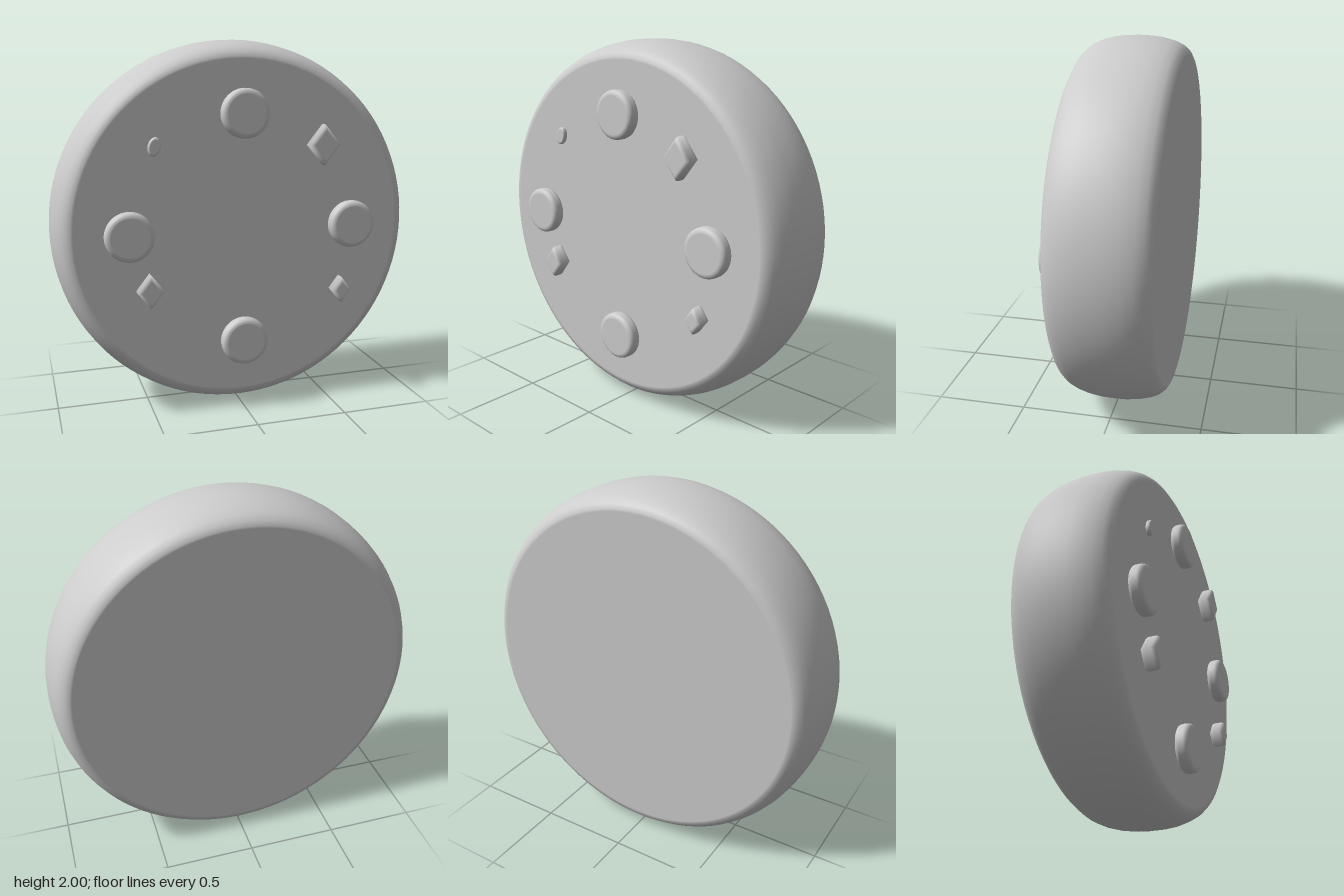
import * as THREE from 'three';

const grey = new THREE.MeshStandardMaterial({ color: 0xcccccc });
grey.name = 'plain grey';

// Turned solid whose axis points along z; profile is [radius, z] from back to front
function turned(name, profile, segments) {
  const points = profile.map(([r, z]) => new THREE.Vector2(r, z));
  const geometry = new THREE.LatheGeometry(points, segments);
  geometry.rotateX(Math.PI / 2);
  const mesh = new THREE.Mesh(geometry, grey);
  mesh.name = name;
  return mesh;
}

// Disc profile of unit-scaled radius with softly rounded rims, from z = 0 to depth
function softDisc(radius, depth, round) {
  const profile = [[0, 0], [radius - round * 1.1, 0]];
  const steps = 4;
  for (const end of [0, 1]) {
    for (let i = 0; i <= steps; i++) {
      const a = (i / steps) * Math.PI / 2 - (end ? 0 : Math.PI / 2);
      const centre = end ? depth - round : round;
      profile.push([radius - round + round * Math.cos(a), centre + round * Math.sin(a)]);
    }
  }
  profile.push([radius - round * 1.1, depth], [0, depth]);
  return profile;
}

export function createModel() {
  const model = new THREE.Group();
  model.name = 'roundBody';

  // Thick body with rounded shoulders
  const body = turned('body', [
    [0, -0.3], [0.9, -0.3], [0.912, -0.3], [0.935, -0.288], [0.957, -0.262],
    [0.975, -0.222], [0.99, -0.165], [0.998, -0.1], [1, -0.04],
    [0.998, 0.03], [0.99, 0.09], [0.975, 0.145], [0.957, 0.185],
    [0.935, 0.211], [0.912, 0.223], [0.9, 0.223], [0, 0.223],
  ], 96);
  body.position.y = 1;
  model.add(body);

  // Four round buttons
  for (let i = 0; i < 4; i++) {
    const a = (i * Math.PI) / 2;
    const button = turned('roundButton', softDisc(0.13, 0.075, 0.025), 48);
    button.position.set(0.617 * Math.cos(a), 1.003 + 0.617 * Math.sin(a), 0.22);
    model.add(button);
  }

  // Diamond studs: x, y, half width, half height
  for (const [x, y, w, h] of [
    [0.44, 1.446, 0.088, 0.11],
    [-0.516, 0.709, 0.072, 0.092],
    [0.558, 0.635, 0.056, 0.073],
  ]) {
    const stud = turned('diamondStud', softDisc(1, 0.083, 0.025), 4);
    // The rim keeps its rounding in plan after scaling
    stud.geometry.dispose();
    stud.geometry = turned('', softDisc(h, 0.083, 0.025), 4).geometry;
    stud.scale.x = w / h;
    stud.position.set(x, y, 0.22);
    model.add(stud);
  }

  // Small tilted oval stud
  const oval = turned('ovalStud', softDisc(0.05, 0.03, 0.012), 24);
  oval.scale.x = 0.66;
  oval.rotation.z = -0.25;
  oval.position.set(-0.476, 1.458, 0.218);
  model.add(oval);

  return model;
}
